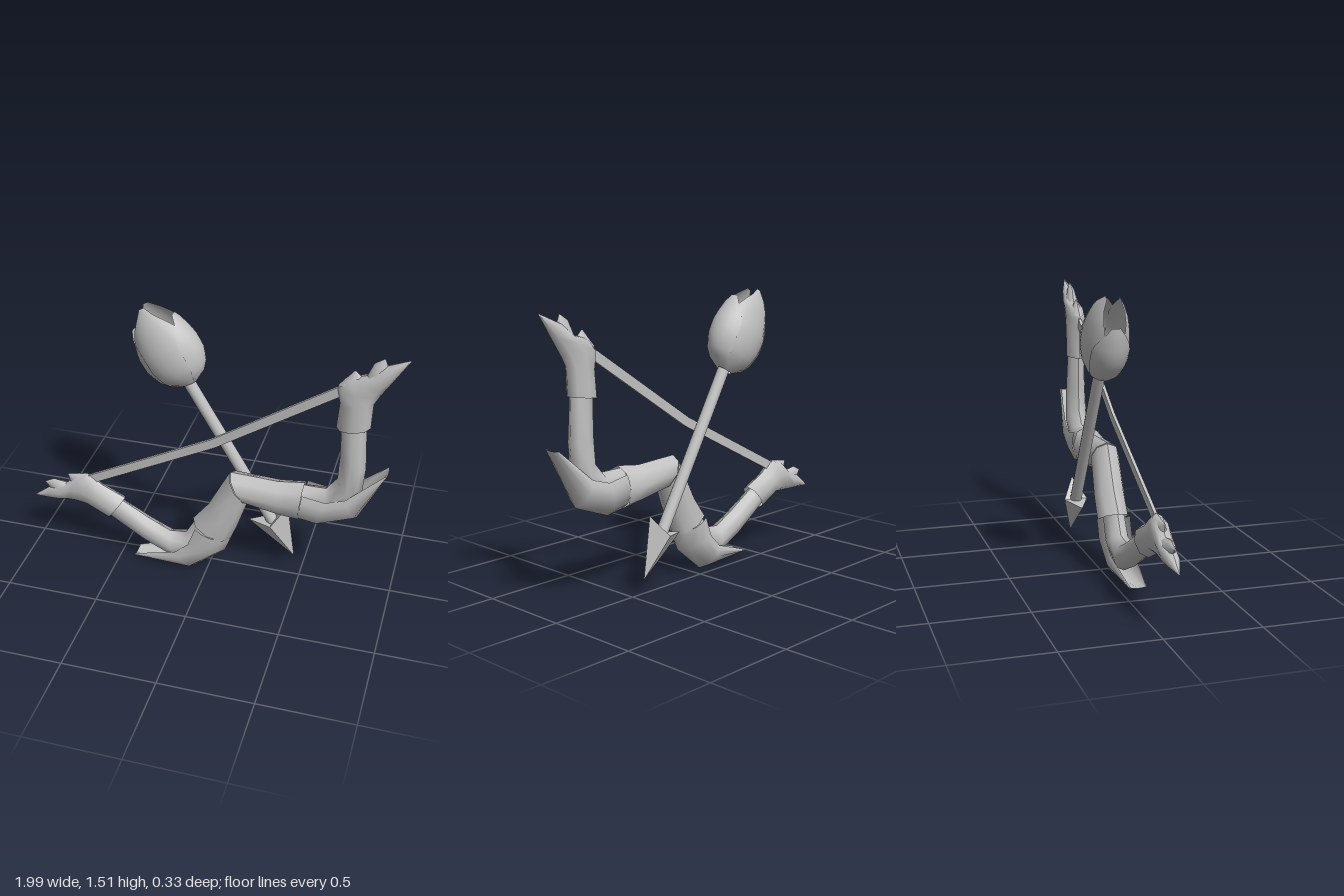
import * as THREE from 'three';

const TILT = Math.atan2(0.505, 0.863);
const ORIGIN = [0, 0.885];
const BOW_Z = 0.077, ARROW_Z = -0.042;
const grey = new THREE.MeshStandardMaterial({ color: 0xc0c0c0, side: THREE.DoubleSide });
grey.name = 'plain grey';

// Turns upright coordinates into the tilted frame (x along the string, y along the shaft)
function tilt(x, y) {
  const c = Math.cos(TILT), s = Math.sin(TILT), dx = x - ORIGIN[0], dy = y - ORIGIN[1];
  return [dx * c + dy * s, -dx * s + dy * c];
}

// Builds a smooth surface over a grid of rows
function gridGeometry(rows, flip) {
  const n = rows[0].length, index = [];
  for (let i = 0; i < rows.length - 1; i++) {
    for (let k = 0; k < n - 1; k++) {
      const a = i * n + k, b = a + n;
      if (flip) index.push(a, b, a + 1, a + 1, b, b + 1);
      else index.push(a, a + 1, b, a + 1, b + 1, b);
    }
  }
  const g = new THREE.BufferGeometry();
  g.setAttribute('position', new THREE.Float32BufferAttribute(rows.flat(2), 3));
  g.setIndex(index);
  g.computeVertexNormals();
  return g;
}

// Ring across a limb: [share of half depth, share from inner to outer edge]
const ROUND = [[0, 0], [0.7, 0.14], [1, 0.48], [0.72, 0.84], [0, 1], [-0.72, 0.84], [-1, 0.48], [-0.7, 0.14], [0, 0]];
const OPEN = [[0.85, 0], [1, 0.2], [1, 0.45], [0.65, 0.8], [0, 1], [-0.65, 0.8], [-1, 0.45], [-1, 0.2], [-0.85, 0]];

// Each station: inner x, inner y, outer x, outer y, half depth
function limb(stations, ring, side) {
  const rows = stations.map(([ax, ay, bx, by, w]) => {
    const p = tilt(ax, ay), q = tilt(bx, by);
    return ring.map(([z, s]) => [
      side * (p[0] + (q[0] - p[0]) * s), p[1] + (q[1] - p[1]) * s, BOW_Z + z * w]);
  });
  return gridGeometry(rows, side < 0);
}

const BOW_PARTS = [
  ['upperLimb', ROUND, [
    [0.126, 0.675, 0.222, 0.506, 0.078], [0.38, 0.665, 0.40, 0.47, 0.085],
    [0.52, 0.685, 0.50, 0.455, 0.086]]],
  ['elbowSleeve', OPEN, [
    [0.52, 0.65, 0.50, 0.455, 0.086], [0.64, 0.63, 0.59, 0.44, 0.086],
    [0.74, 0.66, 0.80, 0.52, 0.077], [0.93, 0.83, 0.94, 0.825, 0.048]]],
  ['forearm', ROUND, [
    [0.50, 0.67, 0.52, 0.50, 0.06], [0.63, 0.67, 0.66, 0.52, 0.063],
    [0.685, 0.745, 0.81, 0.63, 0.063], [0.69, 0.88, 0.825, 0.83, 0.057],
    [0.685, 1.10, 0.81, 1.10, 0.047]]],
  ['hand', ROUND, [
    [0.66, 1.05, 0.83, 1.07, 0.058], [0.67, 1.19, 0.835, 1.21, 0.056],
    [0.65, 1.275, 0.865, 1.265, 0.054], [0.69, 1.335, 0.89, 1.305, 0.05],
    [0.785, 1.36, 0.925, 1.36, 0.045], [0.86, 1.42, 0.955, 1.41, 0.034],
    [0.99, 1.475, 0.993, 1.47, 0.002]]],
  ['thumb', ROUND, [
    [0.655, 1.29, 0.79, 1.33, 0.035], [0.732, 1.383, 0.738, 1.38, 0.002]]],
  ['finger', ROUND, [
    [0.785, 1.35, 0.89, 1.40, 0.034], [0.82, 1.435, 0.885, 1.43, 0.018],
    [0.868, 1.466, 0.872, 1.463, 0.002]]],
];

// Flower outline by interpolation: [share of height, radius]
const BULB = [[0, 0.045], [0.06, 0.1], [0.17, 0.142], [0.33, 0.166], [0.5, 0.166], [0.7, 0.142], [0.85, 0.112], [1, 0.05]];
function bulbRadius(t) {
  let i = 0;
  while (i < BULB.length - 2 && t > BULB[i + 1][0]) i++;
  const [t0, r0] = BULB[i], [t1, r1] = BULB[i + 1];
  return r0 + (r1 - r0) * (t - t0) / (t1 - t0);
}

// One cupped petal that narrows to a blunt tip
function petalGeometry(centre, spread, top, grow) {
  const rows = [];
  for (let i = 0; i <= 10; i++) {
    const f = i / 10, t = f * top, r = bulbRadius(t) * grow;
    const width = spread * (f < 0.6 ? 1 : 1 - 0.75 * Math.pow((f - 0.6) / 0.4, 1.6));
    const row = [];
    for (let k = -4; k <= 4; k++) {
      const a = centre + width * k / 4;
      row.push([r * Math.sin(a), 0.255 + 0.47 * t, ARROW_Z - 0.004 + r * Math.cos(a) * 0.7]);
    }
    rows.push(row);
  }
  return gridGeometry(rows, false);
}

// Four-cornered arrow point with a notched back
function arrowheadGeometry() {
  const tip = [0, -0.91, ARROW_Z];
  const right = [0.125, -0.607, ARROW_Z], left = [-0.125, -0.607, ARROW_Z];
  const front = [0, -0.66, ARROW_Z + 0.065], back = [0, -0.66, ARROW_Z - 0.065];
  const faces = [
    tip, right, front, tip, front, left, tip, left, back, tip, back, right,
    right, back, front, left, front, back];
  const g = new THREE.BufferGeometry();
  g.setAttribute('position', new THREE.Float32BufferAttribute(faces.flat(), 3));
  g.computeVertexNormals();
  return g;
}

export function createModel() {
  const model = new THREE.Group();
  model.name = 'bowAndFlowerArrow';
  const tilted = new THREE.Group();
  tilted.name = 'tiltedAssembly';
  tilted.position.set(ORIGIN[0], ORIGIN[1], 0);
  tilted.rotation.z = TILT;
  model.add(tilted);

  const add = (parent, name, geometry) => {
    const mesh = new THREE.Mesh(geometry, grey);
    mesh.name = name;
    parent.add(mesh);
    return mesh;
  };

  // Bow: two mirrored arms
  for (const side of [1, -1]) {
    const half = new THREE.Group();
    half.name = side > 0 ? 'leftBowArm' : 'rightBowArm';
    for (const [name, ring, stations] of BOW_PARTS) add(half, name, limb(stations, ring, side));
    tilted.add(half);
  }

  // String: flat band with a slight bend in the middle
  const band = new THREE.Shape([
    [-0.82, 0.012], [-0.82, -0.038], [0, -0.08], [0.82, -0.038], [0.82, 0.012], [0, -0.03],
  ].map(([x, y]) => new THREE.Vector2(x, y)));
  const string = add(tilted, 'bowString',
    new THREE.ExtrudeGeometry(band, { depth: 0.016, bevelEnabled: false }));
  string.position.z = BOW_Z - 0.008;

  // Arrow: shaft, point and flower
  const arrow = new THREE.Group();
  arrow.name = 'arrow';
  tilted.add(arrow);
  const shaft = add(arrow, 'shaft', new THREE.CylinderGeometry(0.032, 0.032, 0.96, 12));
  shaft.position.set(0, -0.18, ARROW_Z);
  add(arrow, 'arrowhead', arrowheadGeometry());
  for (let i = 0; i < 4; i++) {
    const inner = i % 2 === 0;
    add(arrow, inner ? 'tallPetal' : 'sidePetal',
      petalGeometry(i * Math.PI / 2, inner ? 1.15 : 0.95, inner ? 1 : 0.8, inner ? 1 : 1.04));
  }
  return model;
}
